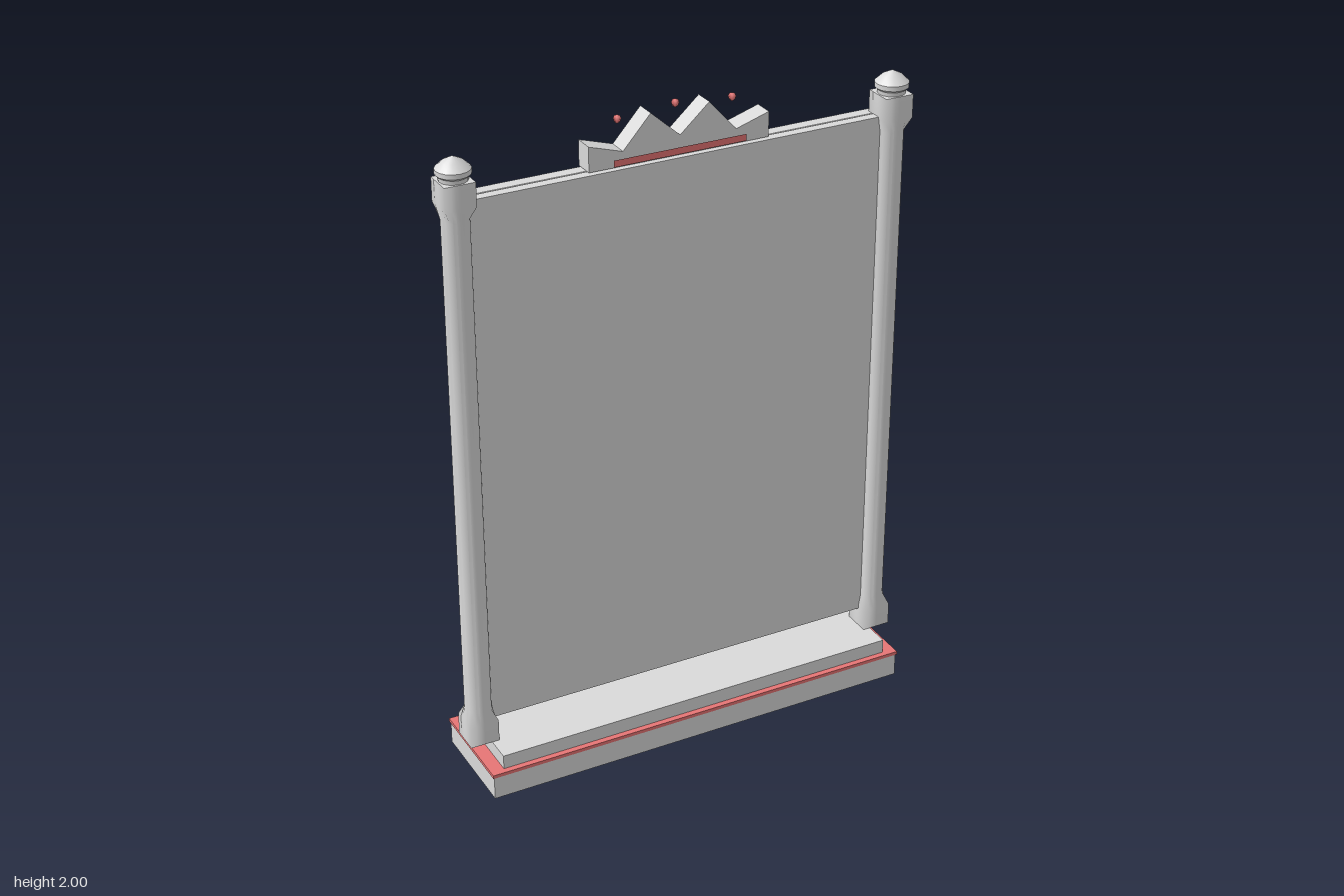
import * as THREE from 'three';
import { toCreasedNormals } from 'three/addons/utils/BufferGeometryUtils.js';

export function createModel() {
  const model = new THREE.Group();
  const stone = new THREE.MeshStandardMaterial({ color: 0xdadada });
  stone.name = 'grey stone';
  const red = new THREE.MeshStandardMaterial({ color: 0xeb7777 });
  red.name = 'red trim';

  const vectors = list => list.map(p => new THREE.Vector2(...p));
  const add = (name, geo, mat, x = 0, y = 0, z = 0) => {
    const m = new THREE.Mesh(geo, mat);
    m.name = name;
    m.position.set(x, y, z);
    model.add(m);
    return m;
  };
  // box from its lower and upper limits
  const box = (name, mat, x0, x1, y0, y1, z0, z1) =>
    add(name, new THREE.BoxGeometry(x1 - x0, y1 - y0, z1 - z0), mat,
      (x0 + x1) / 2, (y0 + y1) / 2, (z0 + z1) / 2);
  // flat red inlay, facing the back unless told otherwise
  const inlay = (name, x, y, z, w, h, facing = Math.PI) =>
    add(name, new THREE.PlaneGeometry(w, h).rotateY(facing), red, x, y, z);
  // bar with chamfered long edges, running along x
  const barGeometry = (length, w, d, c = 0.007) => {
    const a = w / 2, b = d / 2;
    const s = new THREE.Shape(vectors([[-b + c, -a], [b - c, -a], [b, -a + c], [b, a - c],
      [b - c, a], [-b + c, a], [-b, a - c], [-b, -a + c]]));
    return new THREE.ExtrudeGeometry(s, { depth: length, bevelEnabled: false })
      .translate(0, 0, -length / 2).rotateY(Math.PI / 2);
  };

  // stepped base
  box('baseSlab', stone, -0.69, 0.69, 0, 0.074, -0.16, 0.16);
  box('baseTrim', red, -0.694, 0.694, 0.074, 0.085, -0.163, 0.163);
  box('baseStep', stone, -0.652, 0.652, 0.085, 0.13, -0.13, 0.145);
  box('baseBackPlate', stone, -0.505, 0.505, 0.002, 0.073, -0.165, -0.16);

  // main panel and the horizontal bars of its back frame
  box('panel', stone, -0.635, 0.635, 0.19, 1.845, 0, 0.03);
  for (const [name, y] of [['top', 1.822], ['bottom', 0.213]]) {
    add(name + 'FrameBar', barGeometry(1.29, 0.045, 0.05), stone, 0, y, -0.024);
    inlay(name + 'FrameStrip', 0, y, -0.053, 1.26, 0.013);
  }

  // pillar: round shaft swelling to a square foot and head, with soft shading
  const rows = [[0, 0.13], [0.045, 0.13], [0.045, 0.2], [0.04, 0.24],
    [0.04, 1.8], [0.045, 1.84], [0.045, 1.91], [0, 1.91]];
  const pillarGeo = toCreasedNormals(new THREE.LatheGeometry(vectors(rows), 24), 0.5);
  const pos = pillarGeo.attributes.position;
  for (let i = 0; i < pos.count; i++) {
    const y = pos.getY(i), x = pos.getX(i), z = pos.getZ(i);
    const r = Math.hypot(x, z);
    if (r < 0.01 || (y > 0.22 && y < 1.82)) continue;
    const k = r / Math.max(Math.abs(x), Math.abs(z));
    pos.setXYZ(i, x * k, y, z * k);
  }
  const capRows = [[0.04, 1.905], [0.042, 1.922], [0.05, 1.929], [0.05, 1.943],
    [0.03, 1.962], [0, 1.977]];
  const capGeo = toCreasedNormals(new THREE.LatheGeometry(vectors(capRows), 16), 0.5);

  for (const [side, s] of [['left', 1], ['right', -1]]) {
    add(side + 'Pillar', pillarGeo, stone, s * 0.674, 0, 0.021);
    add(side + 'PillarCap', capGeo, stone, s * 0.674, 0, 0.021);
    add(side + 'FrameBar', barGeometry(1.565, 0.045, 0.046).rotateZ(Math.PI / 2), stone,
      s * 0.613, 1.0175, -0.022);
    inlay(side + 'FrameStrip', s * 0.613, 1.0175, -0.049, 0.013, 1.495);
    inlay(side + 'PillarStrip', s * 0.674, 1.02, -0.048, 0.015, 1.48);
  }

  // zigzag crown with its trim and floating beads
  const crown = new THREE.Shape(vectors([[-0.278, 1.847], [0.278, 1.847], [0.278, 1.922],
    [0.175, 1.89], [0.09, 1.985], [0, 1.905], [-0.09, 1.985], [-0.175, 1.89],
    [-0.278, 1.922]]));
  add('crown', new THREE.ExtrudeGeometry(crown, { depth: 0.062, bevelEnabled: false }),
    stone, 0, 0, -0.047);
  inlay('crownFrontTrim', 0, 1.86, 0.019, 0.41, 0.02, 0);
  inlay('crownBackTrim', 0, 1.86, -0.051, 0.41, 0.02);
  for (const [x, y] of [[-0.177, 1.973], [0, 1.987], [0.177, 1.973]]) {
    add('crownBead', new THREE.SphereGeometry(0.013, 3, 4).rotateY(Math.PI), red, x, y, -0.015);
  }
  return model;
}
